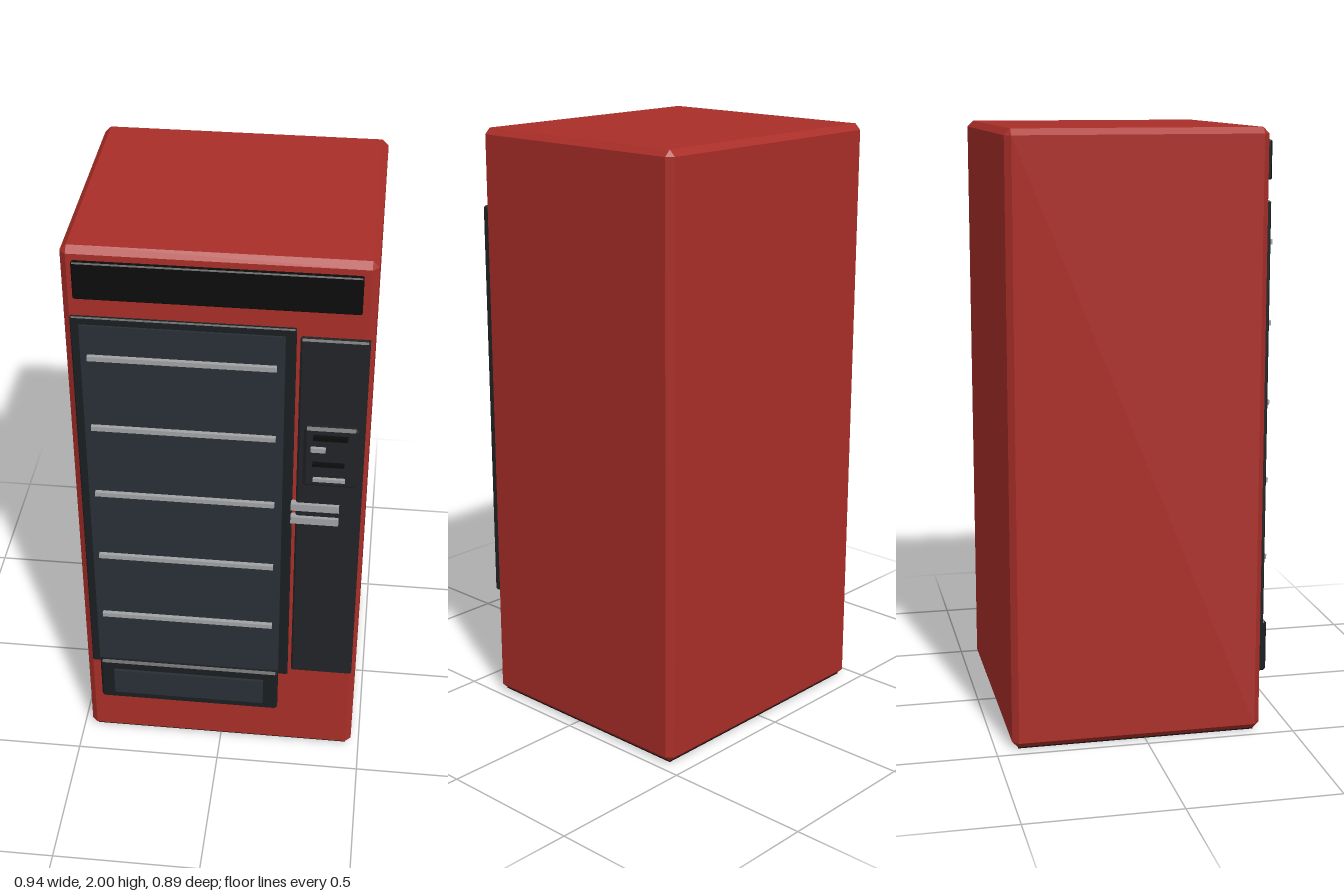
import * as THREE from 'three';
import { ConvexGeometry } from 'three/addons/geometries/ConvexGeometry.js';

const mat = (color) => new THREE.MeshStandardMaterial({ color });

// Box with every edge cut at 45 degrees by c
function chamferBox(w, h, d, c) {
  const points = [];
  const [x, y, z] = [w / 2, h / 2, d / 2];
  for (const sx of [-1, 1]) for (const sy of [-1, 1]) for (const sz of [-1, 1]) {
    points.push(
      new THREE.Vector3(sx * x, sy * (y - c), sz * (z - c)),
      new THREE.Vector3(sx * (x - c), sy * y, sz * (z - c)),
      new THREE.Vector3(sx * (x - c), sy * (y - c), sz * z));
  }
  return new ConvexGeometry(points);
}

export function createModel() {
  const model = new THREE.Group();
  model.name = 'vendingMachine';

  const red = mat(0xaa2e28);
  const black = mat(0x0c0c0d);
  const charcoal = mat(0x222327);
  const frameDark = mat(0x1b1f22);
  const glass = mat(0x282f35);
  const metal = mat(0xa0a2a4);

  // Add a part by its x, y and z limits; c is the edge chamfer
  function part(name, material, [x0, x1], [y0, y1], [z0, z1], c = 0) {
    const size = [x1 - x0, y1 - y0, z1 - z0];
    const geometry = c > 0 ? chamferBox(...size, c) : new THREE.BoxGeometry(...size);
    const mesh = new THREE.Mesh(geometry, material);
    mesh.position.set((x0 + x1) / 2, (y0 + y1) / 2, (z0 + z1) / 2);
    mesh.name = name;
    model.add(mesh);
  }

  // Cabinet and dark underside
  part('cabinet', red, [-0.472, 0.472], [0.004, 2], [-0.445, 0.393], 0.02);
  part('base', black, [-0.452, 0.452], [0, 0.012], [-0.425, 0.373]);

  // Header panel
  part('headerPanel', black, [-0.435, 0.43], [1.835, 1.96], [0.38, 0.41], 0.004);

  // Display window with shelf strips
  part('windowFrame', frameDark, [-0.45, 0.238], [0.345, 1.77], [0.38, 0.405], 0.004);
  part('windowGlass', glass, [-0.422, 0.206], [0.37, 1.745], [0.39, 0.412]);
  for (let i = 0; i < 5; i++) {
    const y = 0.585 + i * 0.2625;
    part('shelfStrip', metal, [-0.4, 0.182], [y - 0.008, y + 0.008], [0.405, 0.426]);
  }

  // Delivery hatch
  part('hatchFrame', frameDark, [-0.42, 0.205], [0.19, 0.367], [0.38, 0.426], 0.008);
  part('hatchFlap', glass, [-0.37, 0.156], [0.228, 0.332], [0.41, 0.436]);

  // Control column
  part('controlColumn', charcoal, [0.25, 0.46], [0.375, 1.742], [0.38, 0.412], 0.006);
  part('paymentUnit', charcoal, [0.27, 0.44], [1.205, 1.432], [0.4, 0.431], 0.009);

  // Payment details
  part('displaySlot', black, [0.3, 0.408], [1.394, 1.408], [0.42, 0.444]);
  part('coinSlot', metal, [0.293, 0.34], [1.347, 1.363], [0.42, 0.442]);
  part('noteSlot', black, [0.3, 0.4], [1.294, 1.305], [0.42, 0.444]);
  part('returnStrip', metal, [0.303, 0.405], [1.233, 1.245], [0.42, 0.442]);

  // Pair of handle bars
  for (const y of [1.057, 1.11]) {
    part('handleBar', metal, [0.235, 0.39], [y - 0.013, y + 0.013], [0.4, 0.424]);
  }

  return model;
}
